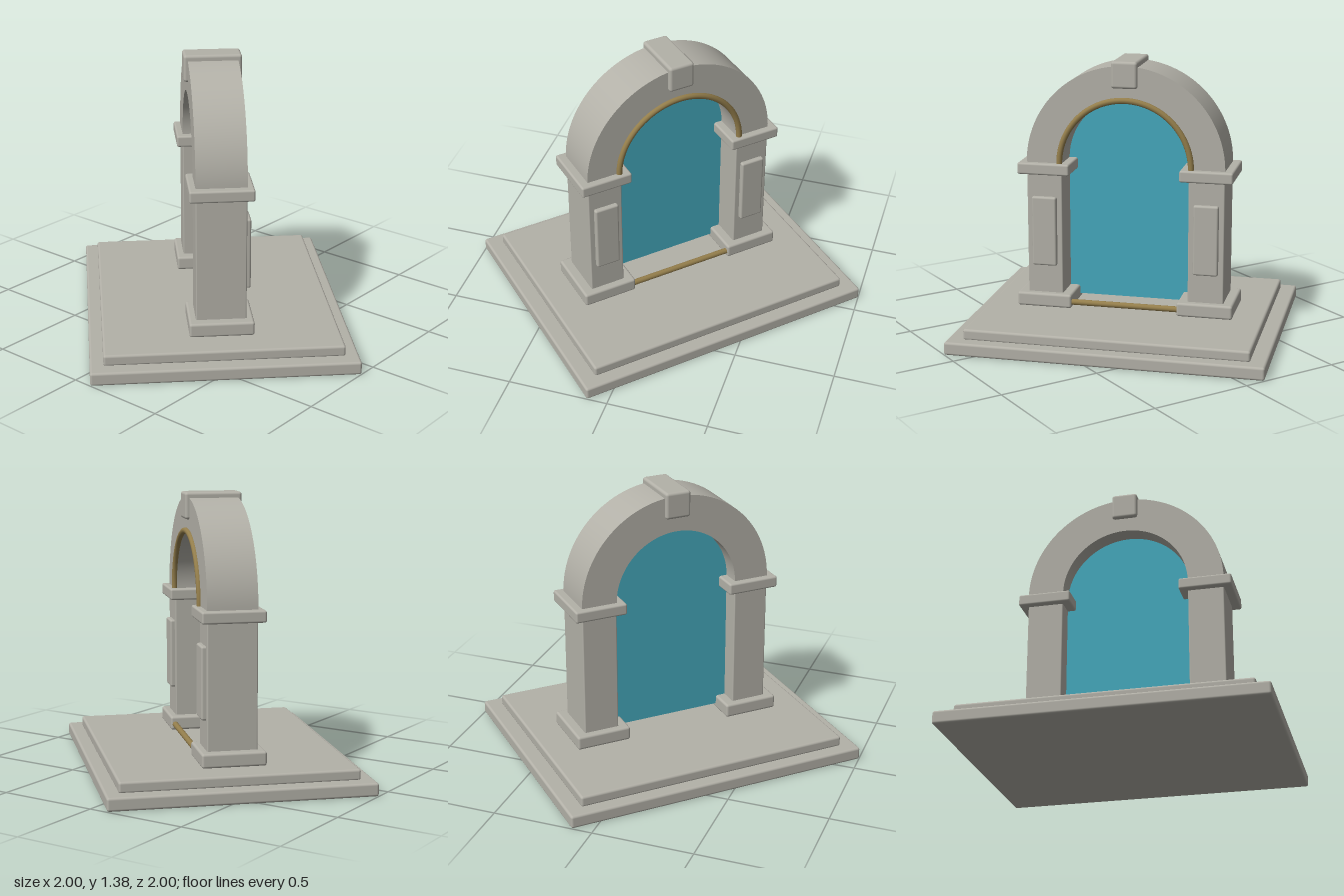
import * as THREE from 'three';
import { toCreasedNormals } from 'three/addons/utils/BufferGeometryUtils.js';
import { RoundedBoxGeometry } from 'three/addons/geometries/RoundedBoxGeometry.js';

const SPRING = 0.86; // height where the arch starts
const OUTER = 0.5, INNER = 0.32, DEPTH = 0.245;

export function createModel() {
  const stone = new THREE.MeshStandardMaterial({ color: 0xb3b1a8 });
  stone.name = 'stone';
  const gold = new THREE.MeshStandardMaterial({ color: 0x957f4c });
  gold.name = 'agedGold';
  const teal = new THREE.MeshStandardMaterial({ color: 0x45a9bd, side: THREE.DoubleSide });
  teal.name = 'tealPane';

  const model = new THREE.Group();
  model.name = 'archedGateway';

  const add = (name, geometry, material, x = 0, y = 0, z = 0, parent = model) => {
    const mesh = new THREE.Mesh(geometry, material);
    mesh.name = name;
    mesh.position.set(x, y, z);
    parent.add(mesh);
    return mesh;
  };
  // Soft-edged stone block standing between two heights
  const block = (name, w, d, y0, y1, r, x = 0, z = 0, parent = model) =>
    add(name, new RoundedBoxGeometry(w, y1 - y0, d, 3, r), stone, x, (y0 + y1) / 2, z, parent);

  // Stepped base
  block('lowerStep', 1.56, 1.28, 0, 0.065, 0.012);
  block('upperStep', 1.405, 1.15, 0.06, 0.115, 0.012);

  // Pillars with plinth, capital and raised front panel
  for (const [side, s] of [['right', -1], ['left', 1]]) {
    const pillar = new THREE.Group();
    pillar.name = side + 'Pillar';
    pillar.position.x = s * 0.41;
    model.add(pillar);
    block('plinth', 0.28, 0.315, 0.115, 0.185, 0.012, 0, 0, pillar);
    block('shaft', 0.18, DEPTH, 0.13, 0.85, 0.006, 0, 0, pillar);
    block('capital', 0.265, 0.31, 0.8, 0.858, 0.01, 0, 0, pillar);
    block('panel', 0.125, 0.05, 0.33, 0.685, 0.01, 0, 0.12, pillar);
  }

  // Half-ring arch
  const ring = new THREE.Shape();
  ring.absarc(0, 0, OUTER, 0, Math.PI, false);
  ring.absarc(0, 0, INNER, Math.PI, 0, true);
  const archGeometry = new THREE.ExtrudeGeometry(ring, { depth: DEPTH, bevelEnabled: false, curveSegments: 40 });
  archGeometry.translate(0, 0, -DEPTH / 2);
  add('arch', toCreasedNormals(archGeometry, 0.5), stone, 0, SPRING - 0.004, 0);

  // Keystone
  block('keystone', 0.13, 0.285, 1.247, 1.38, 0.014);

  // Pane filling the opening
  const opening = new THREE.Shape();
  opening.moveTo(-INNER, 0.14);
  opening.lineTo(INNER, 0.14);
  opening.lineTo(INNER, SPRING);
  opening.absarc(0, SPRING, INNER, 0, Math.PI, false);
  add('pane', new THREE.ShapeGeometry(opening, 40), teal, 0, 0, -0.03);

  // Gold trim around the arch and across the threshold
  add('archTrim', new THREE.TorusGeometry(0.332, 0.015, 10, 48, Math.PI), gold, 0, SPRING - 0.005, 0.125);
  const bar = add('thresholdTrim', new THREE.CylinderGeometry(0.015, 0.015, 0.6, 12), gold, 0, 0.145, 0.135);
  bar.rotation.z = Math.PI / 2;

  // The gateway stands diagonally
  model.rotation.y = Math.PI / 4;
  const root = new THREE.Group();
  root.name = 'gateway';
  root.add(model);
  return root;
}
